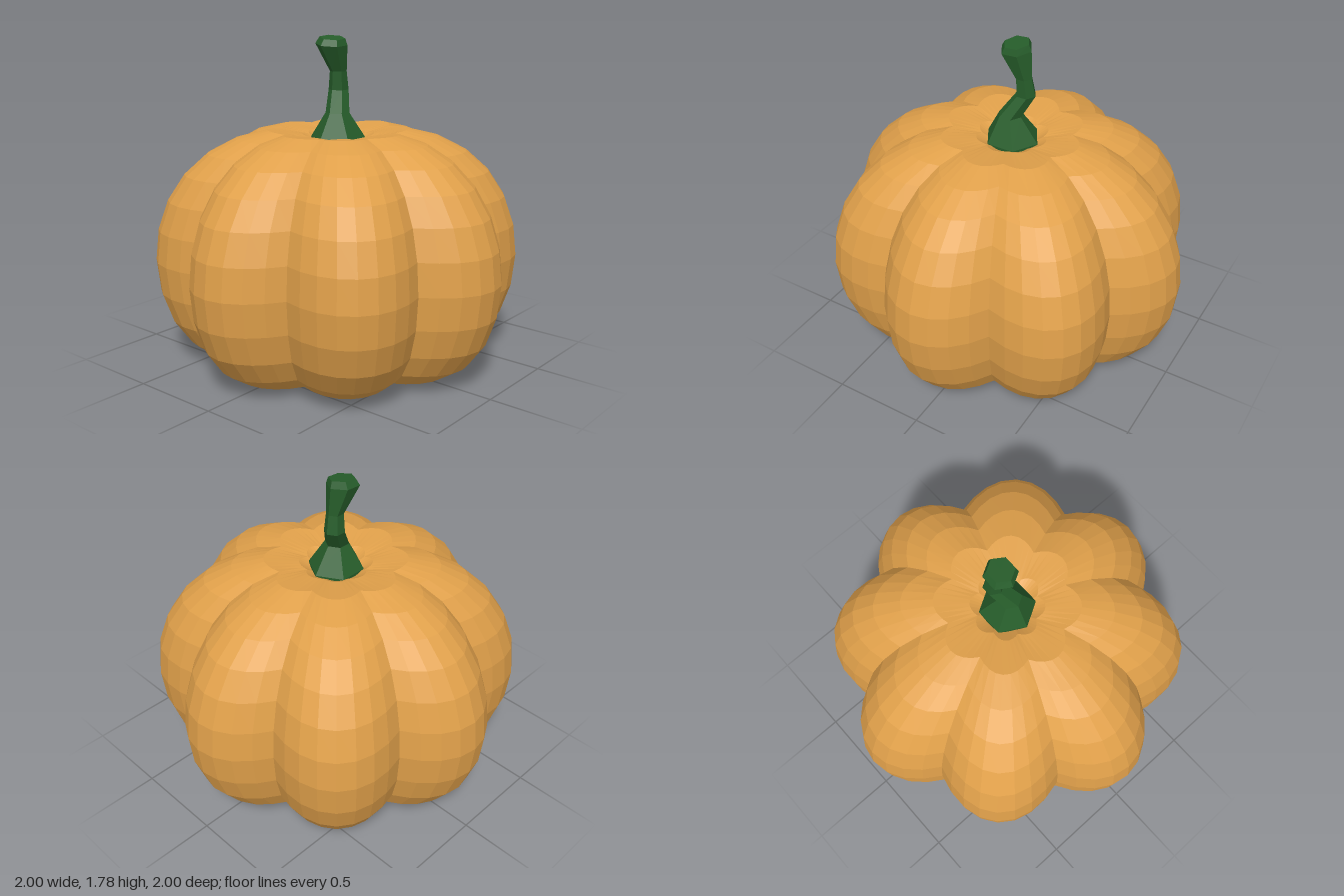
import * as THREE from 'three';

// Moves every vertex of a geometry by a rule
function reshape(geometry, rule) {
  const pos = geometry.attributes.position;
  const v = new THREE.Vector3();
  for (let i = 0; i < pos.count; i++) {
    rule(v.fromBufferAttribute(pos, i));
    pos.setXYZ(i, v.x, v.y, v.z);
  }
  geometry.computeVertexNormals();
  return geometry;
}

function part(name, geometry, color) {
  const mesh = new THREE.Mesh(geometry, new THREE.MeshStandardMaterial({ color, flatShading: true }));
  mesh.name = name;
  return mesh;
}

// Eight-lobed squashed sphere, hollowed at both poles
function lobedBody() {
  return reshape(new THREE.SphereGeometry(1, 64, 16), (v) => {
    const r = Math.hypot(v.x, v.z);
    const lobe = Math.abs(Math.cos(4 * Math.atan2(v.z, v.x)));
    const squash = v.y > 0
      ? 0.88 - 0.19 * (1 - r) - 0.12 * Math.exp(-((r / 0.17) ** 2))
      : 0.915 - 0.5 * (1 - r);
    // grooves sink slightly near the poles
    const sink = r > 0.01 ? 1 - 0.02 * (1 - lobe) * v.y ** 8 : 1;
    const swell = 0.83 + 0.17 * lobe;
    v.set(v.x * swell, 0.58 + v.y * squash * sink, v.z * swell);
  });
}

// Crooked hexagonal stem: [x, y, z, radius, tilt] from base to tip
const stemRings = [
  [0, 1.1, 0, 0.15, 0],
  [0, 1.24, 0, 0.15, 0],
  [0.005, 1.375, 0.012, 0.065, 0],
  [-0.043, 1.49, -0.055, 0.055, 0],
  [-0.037, 1.59, -0.045, 0.046, 0],
  [-0.045, 1.735, 0.003, 0.087, 0.1],
  [-0.04, 1.77, 0, 0.07, 0.13],
];

function crookedStem() {
  const steps = stemRings.length - 1;
  return reshape(new THREE.CylinderGeometry(1, 1, 1, 6, steps), (v) => {
    const [x, y, z, r, tilt] = stemRings[Math.round((v.y + 0.5) * steps)];
    v.set(x + v.x * r, y - tilt * r * (v.x + 0.6 * v.z), z + v.z * r);
  });
}

export function createModel() {
  const model = new THREE.Group();
  model.name = 'pumpkin';
  model.add(part('body', lobedBody(), 0xe0a04a), part('stem', crookedStem(), 0x265c2a));
  return model;
}
